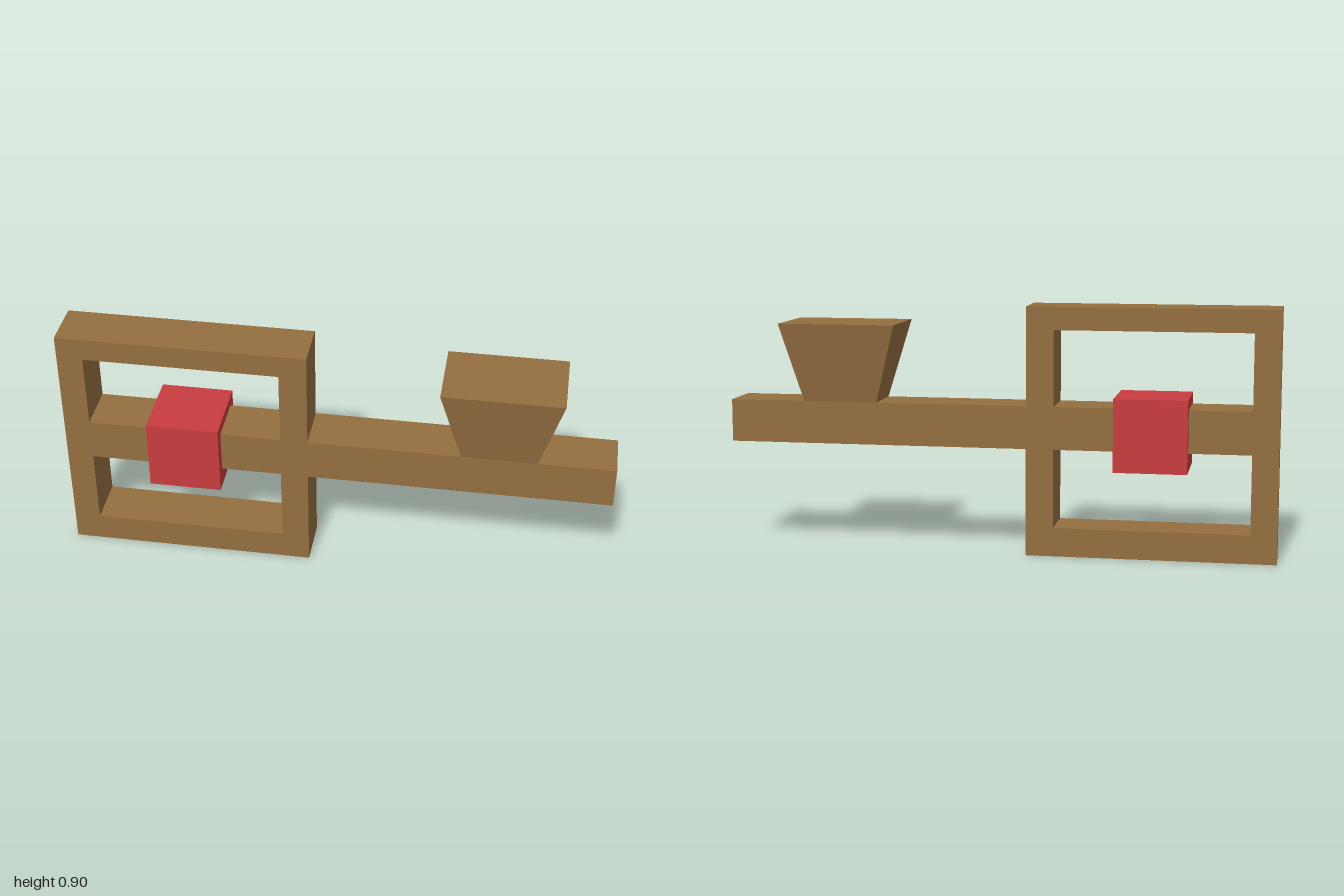
import * as THREE from 'three';

const wood = new THREE.MeshStandardMaterial({ color: 0x946f40, flatShading: true });
const red = new THREE.MeshStandardMaterial({ color: 0xc83c40, flatShading: true });

function addMesh(group, name, geometry, material) {
  const mesh = new THREE.Mesh(geometry, material);
  mesh.name = name;
  group.add(mesh);
  return mesh;
}

// Closed rectangular window in the frame
function windowHole(x0, x1, y0, y1) {
  return new THREE.Path([[x0, y0], [x0, y1], [x1, y1], [x1, y0]].map(([x, y]) => new THREE.Vector2(x, y)));
}

export function createModel() {
  const group = new THREE.Group();
  const depth = 0.182;
  const beamBottom = 0.39, beamTop = 0.545;

  // Square frame and the long beam, cut from one board
  const outline = new THREE.Shape([
    [-1, 0], [-0.1, 0], [-0.1, beamBottom], [1, beamBottom],
    [1, beamTop], [-0.1, beamTop], [-0.1, 0.903], [-1, 0.903],
  ].map(([x, y]) => new THREE.Vector2(x, y)));
  outline.holes.push(
    windowHole(-0.905, -0.2, 0.104, beamBottom),
    windowHole(-0.905, -0.2, beamTop, 0.82),
  );
  const board = new THREE.ExtrudeGeometry(outline, { depth, bevelEnabled: false });
  board.translate(0, 0, -depth / 2);
  addMesh(group, 'frameAndBeam', board, wood);

  // Red block threaded on the beam inside the frame
  const block = addMesh(group, 'slidingBlock', new THREE.BoxGeometry(0.263, 0.263, 0.263), red);
  block.position.set(-0.55, 0.452, 0);

  // Flared block standing on the beam: a box narrowed at the bottom
  const height = 0.832 - beamTop;
  const flare = new THREE.BoxGeometry(0.43, height, 0.285);
  const pos = flare.attributes.position;
  for (let i = 0; i < pos.count; i++) {
    if (pos.getY(i) < 0) {
      pos.setX(i, Math.sign(pos.getX(i)) * 0.136);
      pos.setZ(i, Math.sign(pos.getZ(i)) * depth / 2);
    }
  }
  flare.computeVertexNormals();
  addMesh(group, 'flaredBlock', flare, wood).position.set(0.587, beamTop + height / 2, 0);

  return group;
}
